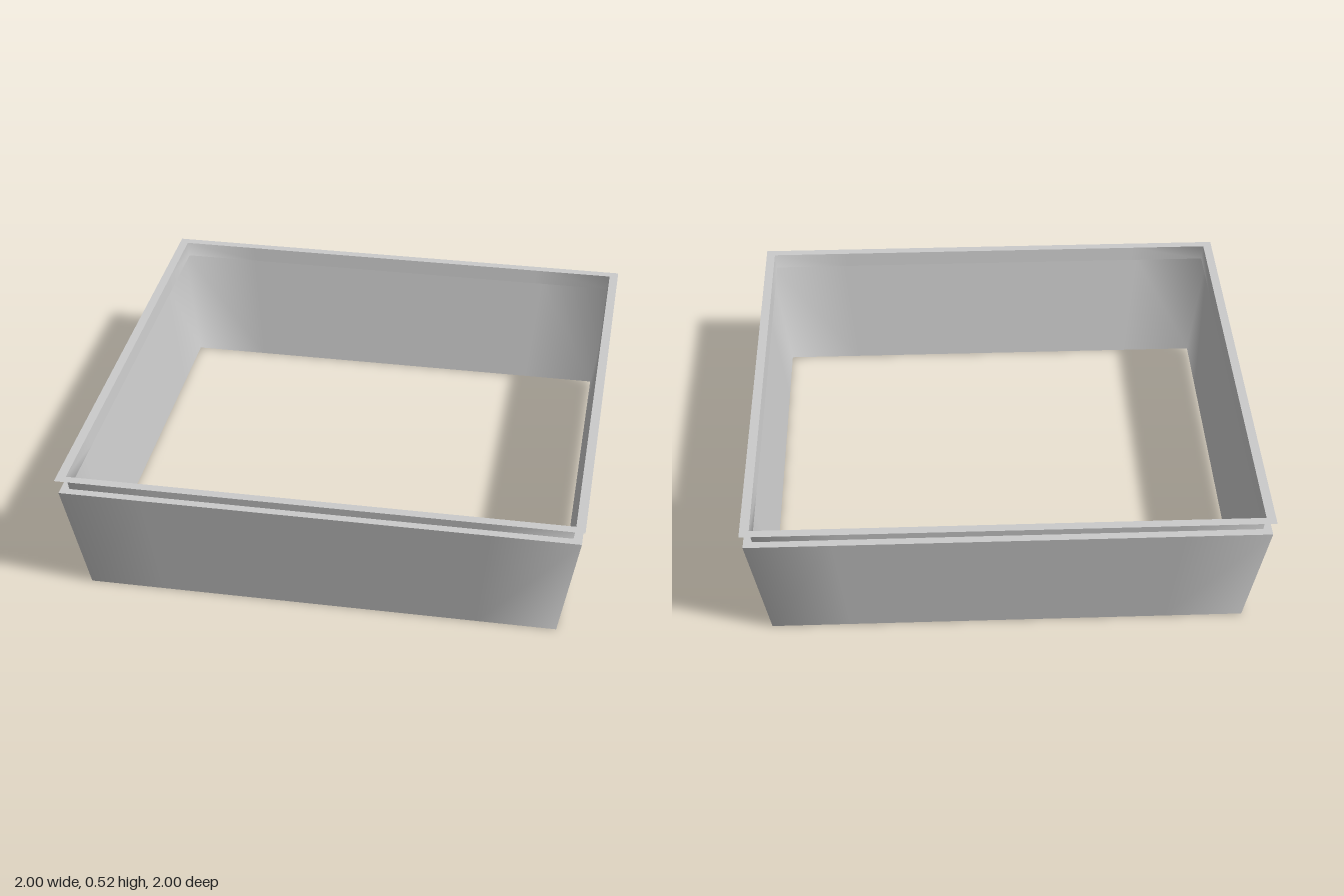
import * as THREE from 'three';

const SEGMENTS = 6; // columns per side, so corners shade softly

// Square loop of unit points, counterclockwise seen from above
function squareLoop() {
  const points = [];
  for (let side = 0; side < 4; side++) {
    const a = side * Math.PI / 2, c = Math.cos(a), s = Math.sin(a);
    for (let i = 0; i < SEGMENTS; i++) {
      const t = -1 + 2 * i / SEGMENTS;
      points.push([t * c + s, c - t * s]);
    }
  }
  return points;
}

// Band of surface between two square rings, each given as [half width, height]
function squareBand(from, to) {
  const loop = squareLoop(), n = loop.length;
  const positions = [], indices = [];
  for (const [r, y] of [from, to]) {
    for (const [x, z] of loop) positions.push(x * r, y, z * r);
  }
  for (let i = 0; i < n; i++) {
    const j = (i + 1) % n;
    indices.push(i, j, n + j, i, n + j, n + i);
  }
  const geometry = new THREE.BufferGeometry();
  geometry.setAttribute('position', new THREE.Float32BufferAttribute(positions, 3));
  geometry.setIndex(indices);
  geometry.computeVertexNormals();
  return geometry;
}

export function createModel() {
  const group = new THREE.Group();
  group.name = 'squareFrame';
  const material = new THREE.MeshStandardMaterial({ color: 0xcccccc, side: THREE.DoubleSide });

  // Thin sheet profile: each band is separate, keeping the folds crisp
  const bands = [
    ['taperedWall', [0.914, 0], [0.99, 0.463]],
    ['shoulder', [0.99, 0.463], [0.957, 0.463]],
    ['neck', [0.957, 0.463], [0.964, 0.523]],
    ['topFlange', [1, 0.523], [0.964, 0.523]],
  ];
  for (const [name, from, to] of bands) {
    const mesh = new THREE.Mesh(squareBand(from, to), material);
    mesh.name = name;
    group.add(mesh);
  }
  return group;
}
